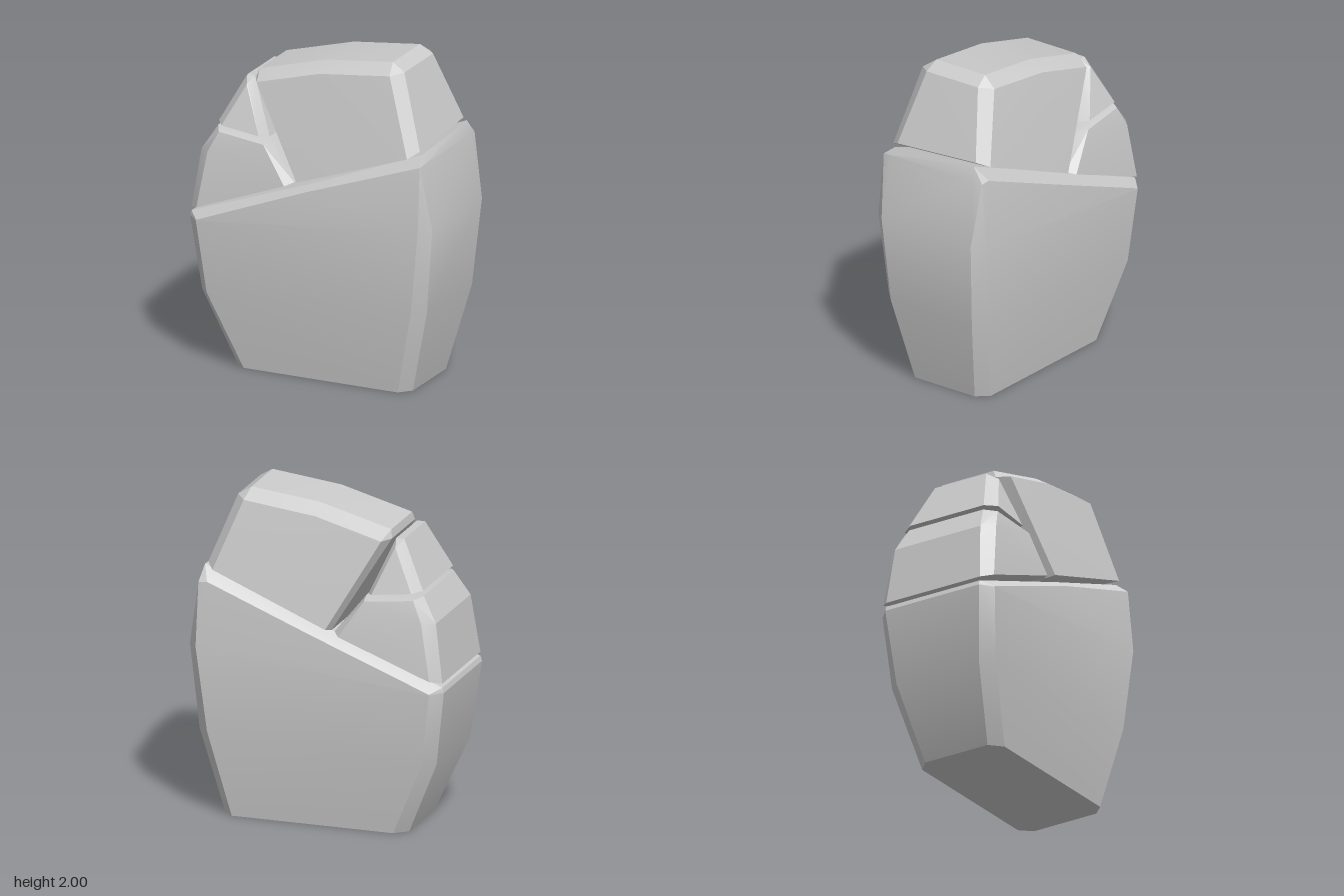
import * as THREE from 'three';
import { ConvexGeometry } from 'three/addons/geometries/ConvexGeometry.js';
import { toCreasedNormals } from 'three/addons/utils/BufferGeometryUtils.js';

// Each corner of a stone: [rim x, rim y, rim half depth, face x, face y, face half depth, tilt].
// The rim is the chamfered silhouette; the face is the flat front and back inside it.
const stones = {
  baseStone: [
    [-0.535, 0, 0.22, -0.46, 0, 0.29],
    [0.61, 0, 0.22, 0.545, 0, 0.29],
    [0.74, 0.52, 0.3, 0.67, 0.53, 0.37],
    [0.79, 1.05, 0.33, 0.73, 1.05, 0.4],
    [0.735, 1.45, 0.3, 0.725, 1.44, 0.365],
    [0.71, 1.515, 0.29, 0.67, 1.425, 0.37, 0.06],
    [0, 1.225, 0.35, 0, 1.19, 0.395],
    [-0.78, 0.94, 0.33, -0.72, 0.91, 0.395],
    [-0.79, 0.91, 0.33, -0.72, 0.9, 0.395],
    [-0.73, 0.45, 0.29, -0.665, 0.46, 0.365],
  ],
  crownStone: [
    [-0.09, 1.22, 0.33, -0.07, 1.235, 0.385],
    [0.69, 1.53, 0.29, 0.64, 1.5, 0.36, 0.06],
    [0.54, 1.95, 0.19, 0.48, 1.94, 0.265],
    [0.46, 2, 0.18, 0.48, 1.94, 0.265],
    [0.03, 1.95, 0.18, 0.03, 1.89, 0.275],
    [-0.41, 1.83, 0.18, -0.38, 1.78, 0.28],
    [-0.42, 1.78, 0.2, -0.37, 1.76, 0.285],
  ],
  sideStone: [
    [-0.78, 0.965, 0.33, -0.72, 0.985, 0.39],
    [-0.73, 1.32, 0.3, -0.66, 1.33, 0.365],
    [-0.64, 1.47, 0.26, -0.6, 1.455, 0.335],
    [-0.29, 1.445, 0.28, -0.3, 1.425, 0.355],
    [-0.24, 1.38, 0.3, -0.29, 1.41, 0.355],
    [-0.11, 1.215, 0.33, -0.15, 1.2, 0.385],
  ],
  wedgeStone: [
    [-0.635, 1.5, 0.26, -0.585, 1.495, 0.33],
    [-0.49, 1.78, 0.18, -0.46, 1.74, 0.25],
    [-0.44, 1.78, 0.18, -0.45, 1.73, 0.25],
    [-0.3, 1.45, 0.27, -0.34, 1.465, 0.335],
  ],
};

// Hull of the rim and face corners, mirrored front to back
function makeStone(name, corners) {
  const points = [];
  for (const [rx, ry, rz, fx, fy, fz, tilt = 0] of corners) {
    for (const s of [1, -1]) {
      points.push(new THREE.Vector3(rx, ry - s * rz * tilt, s * rz));
      points.push(new THREE.Vector3(fx, fy - s * fz * tilt, s * fz));
    }
  }
  const geometry = toCreasedNormals(new ConvexGeometry(points), 0.33);
  const mesh = new THREE.Mesh(geometry, new THREE.MeshStandardMaterial({ color: 0xcccccc }));
  mesh.name = name;
  return mesh;
}

export function createModel() {
  const model = new THREE.Group();
  model.name = 'crackedRock';
  for (const [name, corners] of Object.entries(stones)) model.add(makeStone(name, corners));
  return model;
}
